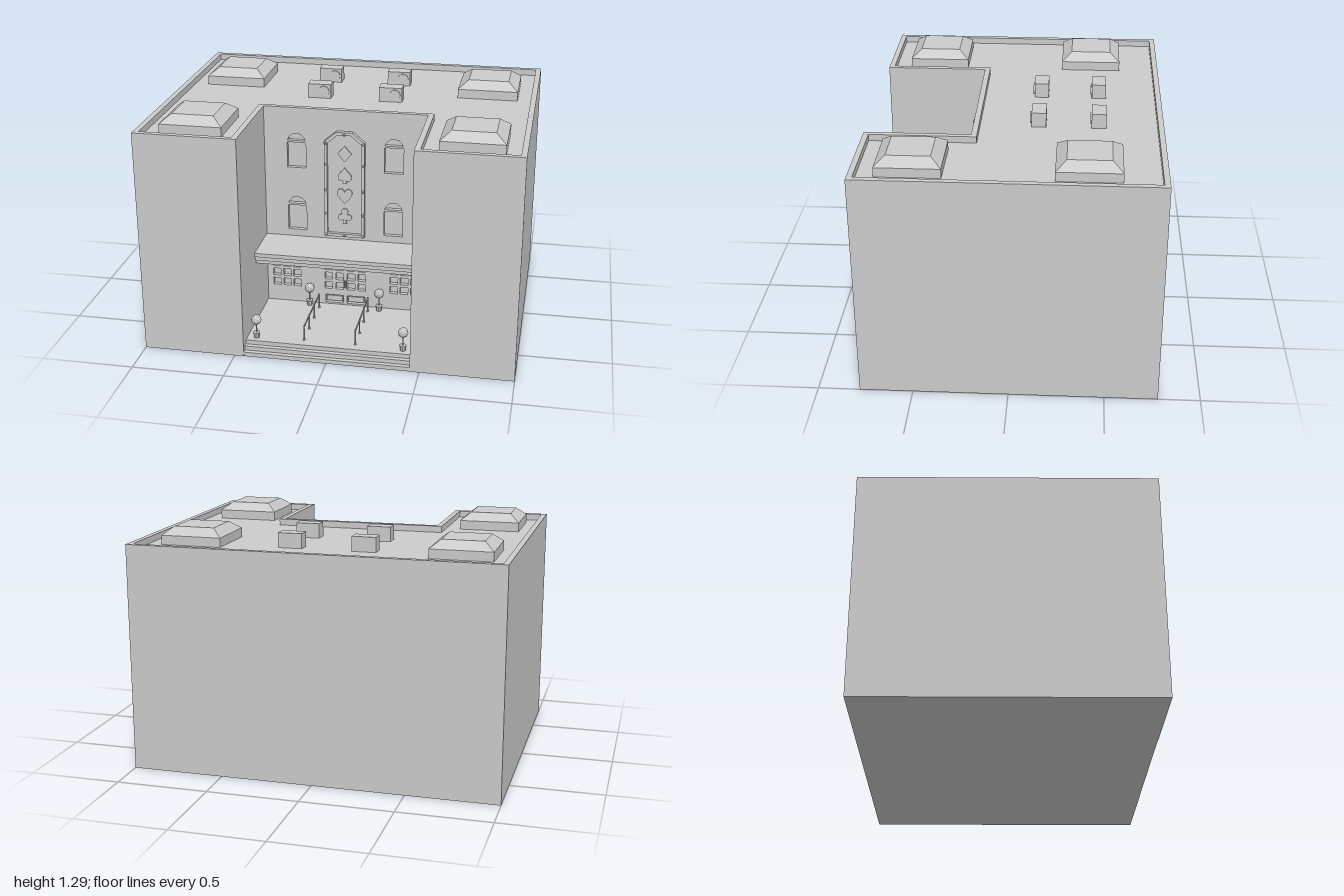
import * as THREE from 'three';

const mat = new THREE.MeshStandardMaterial({ color: 0xcccccc, flatShading: true });
const H = 1.235, ROOF = 1.2, WALL = 0.22, FLOOR = 0.07;

function add(parent, name, geo, x = 0, y = 0, z = 0) {
  const m = new THREE.Mesh(geo, mat);
  m.name = name;
  m.position.set(x, y, z);
  parent.add(m);
  return m;
}
// box given by its minimum and maximum corners
function box(parent, name, x0, x1, y0, y1, z0, z1) {
  return add(parent, name, new THREE.BoxGeometry(x1 - x0, y1 - y0, z1 - z0),
    (x0 + x1) / 2, (y0 + y1) / 2, (z0 + z1) / 2);
}
const poly = (pts) => new THREE.Shape(pts.map(([x, y]) => new THREE.Vector2(x, y)));
const rect = (cx, cy, w, h) => poly([[cx - w / 2, cy - h / 2], [cx + w / 2, cy - h / 2],
  [cx + w / 2, cy + h / 2], [cx - w / 2, cy + h / 2]]);
const extrude = (shape, depth) =>
  new THREE.ExtrudeGeometry(shape, { depth, bevelEnabled: false, curveSegments: 8 });

// U-shaped plan, inset by t, with the entrance court cut to depth z = back
const plan = (t, back) => poly([[-1 + t, -0.78 + t], [-0.45 - t, -0.78 + t], [-0.45 - t, -back + t],
  [0.45 + t, -back + t], [0.45 + t, -0.78 + t], [1 - t, -0.78 + t], [1 - t, 0.78 - t], [-1 + t, 0.78 - t]]);

// facade plate with window, door and pane recesses cut through it
function facadeShape() {
  const s = poly([[-0.45, 0], [0.45, 0], [0.45, ROOF], [-0.45, ROOF]]);
  for (const cx of [-0.27, 0.27]) {
    for (const y of [0.52, 0.89]) {
      s.holes.push(rect(cx, y + 0.073, 0.104, 0.146));
      s.holes.push(poly([[cx - 0.05, y + 0.157], [cx + 0.05, y + 0.157], [cx + 0.043, y + 0.173],
        [cx + 0.022, y + 0.194], [cx - 0.022, y + 0.194], [cx - 0.043, y + 0.173]]));
    }
  }
  for (const y of [0.187, 0.246, 0.305]) {
    for (const x of [0.033, 0.095, 0.278, 0.336, 0.395]) {
      for (const k of [-1, 1]) s.holes.push(rect(k * x, y, 0.044, 0.042));
    }
  }
  for (const k of [-1, 1]) s.holes.push(rect(k * 0.062, 0.104, 0.104, 0.048));
  return s;
}

// outline of the tall sign, inset by t
const signShape = (t) => poly([[-0.112 + t, 0.505 + t], [0.112 - t, 0.505 + t], [0.112 - t, 1.06 - t * 0.6],
  [0.045 - t * 0.4, 1.117 - t], [-0.045 + t * 0.4, 1.117 - t], [-0.112 + t, 1.06 - t * 0.6]]);

// card suit outlines, centred on the origin
function heart(k) {
  const s = new THREE.Shape();
  s.moveTo(0, -0.046 * k);
  s.bezierCurveTo(0.01 * k, -0.025 * k, 0.042 * k, -0.01 * k, 0.042 * k, 0.018 * k);
  s.bezierCurveTo(0.042 * k, 0.05 * k, 0.006 * k, 0.05 * k, 0, 0.022 * k);
  s.bezierCurveTo(-0.006 * k, 0.05 * k, -0.042 * k, 0.05 * k, -0.042 * k, 0.018 * k);
  s.bezierCurveTo(-0.042 * k, -0.01 * k, -0.01 * k, -0.025 * k, 0, -0.046 * k);
  return s;
}
function club() {
  const s = new THREE.Shape();
  s.moveTo(-0.012, -0.046);
  s.lineTo(0.012, -0.046);
  s.lineTo(0.005, -0.022);
  s.absarc(0.021, -0.008, 0.018, -2.2, 1.9, false);
  s.absarc(0, 0.026, 0.019, -0.8, Math.PI + 0.8, false);
  s.absarc(-0.021, -0.008, 0.018, Math.PI - 1.9, Math.PI + 2.2, false);
  s.lineTo(-0.005, -0.022);
  return s;
}

function topiary(x, z) {
  const g = new THREE.Group();
  g.name = 'pottedTree';
  g.position.set(x, FLOOR, z);
  add(g, 'pot', new THREE.CylinderGeometry(0.02, 0.014, 0.032, 8), 0, 0.016, 0);
  add(g, 'trunk', new THREE.CylinderGeometry(0.004, 0.004, 0.06, 6), 0, 0.055, 0);
  add(g, 'foliage', new THREE.IcosahedronGeometry(0.028, 1), 0, 0.107, 0);
  return g;
}

function skylight(x, z) {
  const g = new THREE.Group();
  g.name = 'skylight';
  g.position.set(x, ROOF, z);
  add(g, 'skylightCurb', new THREE.BoxGeometry(0.334, 0.05, 0.334), 0, 0.025, 0);
  const top = new THREE.CylinderGeometry(0.112 * Math.SQRT2, 0.167 * Math.SQRT2, 0.043, 4);
  top.rotateY(Math.PI / 4);
  add(g, 'skylightTop', top, 0, 0.0715, 0);
  return g;
}

function roofUnit(x, z) {
  const g = new THREE.Group();
  g.name = 'roofUnit';
  g.position.set(x, ROOF, z);
  add(g, 'unitCase', new THREE.BoxGeometry(0.13, 0.08, 0.078), 0, 0.04, 0);
  const fan = new THREE.CylinderGeometry(0.031, 0.031, 0.008, 16);
  fan.rotateX(Math.PI / 2);
  add(g, 'fan', fan, 0.025, 0.04, 0.042);
  return g;
}

function railing(x) {
  const g = new THREE.Group();
  g.name = 'railing';
  for (let i = 0; i < 4; i++) {
    const z = 0.67 - i * 0.13;
    add(g, 'post', new THREE.CylinderGeometry(0.004, 0.004, 0.09, 6), x, FLOOR + 0.045, z);
    add(g, 'postFoot', new THREE.CylinderGeometry(0.007, 0.007, 0.006, 8), x, FLOOR + 0.003, z);
  }
  box(g, 'rail', x - 0.003, x + 0.003, FLOOR + 0.078, FLOOR + 0.086, 0.28, 0.67);
  return g;
}

export function createModel() {
  const model = new THREE.Group();
  model.name = 'building';

  // main block and parapet
  add(model, 'walls', extrude(plan(0, WALL - 0.025), ROOF).rotateX(-Math.PI / 2));
  const rim = plan(0, WALL);
  rim.holes.push(plan(0.03, WALL));
  add(model, 'parapet', extrude(rim, H - ROOF).rotateX(-Math.PI / 2), 0, ROOF, 0);
  add(model, 'facade', extrude(facadeShape(), 0.025), 0, 0, WALL - 0.025);

  // court floor with steps
  [0.778, 0.752, 0.726].forEach((z, i) =>
    box(model, 'step', -0.45, 0.45, i * 0.0235, (i + 1) * 0.0235, WALL, z));

  // layered canopy over the entrance
  [[0.412, 0.434, 0.475], [0.434, 0.458, 0.485], [0.458, 0.48, 0.495]].forEach(([y0, y1, z]) =>
    box(model, 'canopy', -0.45, 0.45, y0, y1, WALL, z));

  // door panels and handles
  for (const k of [-1, 1]) {
    box(model, 'doorPanel', k * 0.062 - 0.044, k * 0.062 + 0.044, 0.088, 0.12, WALL - 0.026, WALL - 0.008);
    box(model, 'doorHandle', k * 0.006 - 0.003, k * 0.006 + 0.003, 0.18, 0.225, WALL, WALL + 0.012);
  }

  // sign: frame, panel, suits and bulbs
  const sign = new THREE.Group();
  sign.name = 'sign';
  model.add(sign);
  const frame = signShape(0);
  frame.holes.push(signShape(0.017));
  add(sign, 'signFrame', extrude(frame, 0.026), 0, 0, WALL);
  add(sign, 'signPanel', extrude(signShape(0.016), 0.006), 0, 0, WALL);
  const diamond = poly([[0, -0.046], [0.039, 0], [0, 0.046], [-0.039, 0]]);
  add(sign, 'diamond', extrude(diamond, 0.014), 0, 0.99, WALL);
  const spade = add(sign, 'spade', extrude(heart(0.9), 0.014), 0, 0.87, WALL + 0.014);
  spade.rotation.x = Math.PI;
  add(sign, 'spadeStem', extrude(poly([[-0.012, -0.046], [0.012, -0.046], [0.004, -0.012], [-0.004, -0.012]]),
    0.0138), 0, 0.866, WALL);
  add(sign, 'heart', extrude(heart(1), 0.014), 0, 0.743, WALL);
  add(sign, 'club', extrude(club(), 0.014), 0, 0.625, WALL);
  const bulbs = [[0, 1.105], [0, 0.514]];
  for (const y of [0.514, 0.64, 0.78, 0.93, 1.053]) bulbs.push([-0.103, y], [0.103, y]);
  for (const [x, y] of bulbs) add(sign, 'bulb', new THREE.SphereGeometry(0.008, 8, 6), x, y, WALL + 0.026);

  // court furniture, mirrored
  for (const k of [-1, 1]) {
    model.add(topiary(k * 0.4, 0.685), topiary(k * 0.2, 0.255), railing(k * 0.14));
  }

  // roof details
  for (const x of [-0.727, 0.727]) for (const z of [-0.393, 0.495]) model.add(skylight(x, z));
  for (const x of [-0.203, 0.199]) for (const z of [-0.44, -0.122]) model.add(roofUnit(x, z));

  return model;
}
